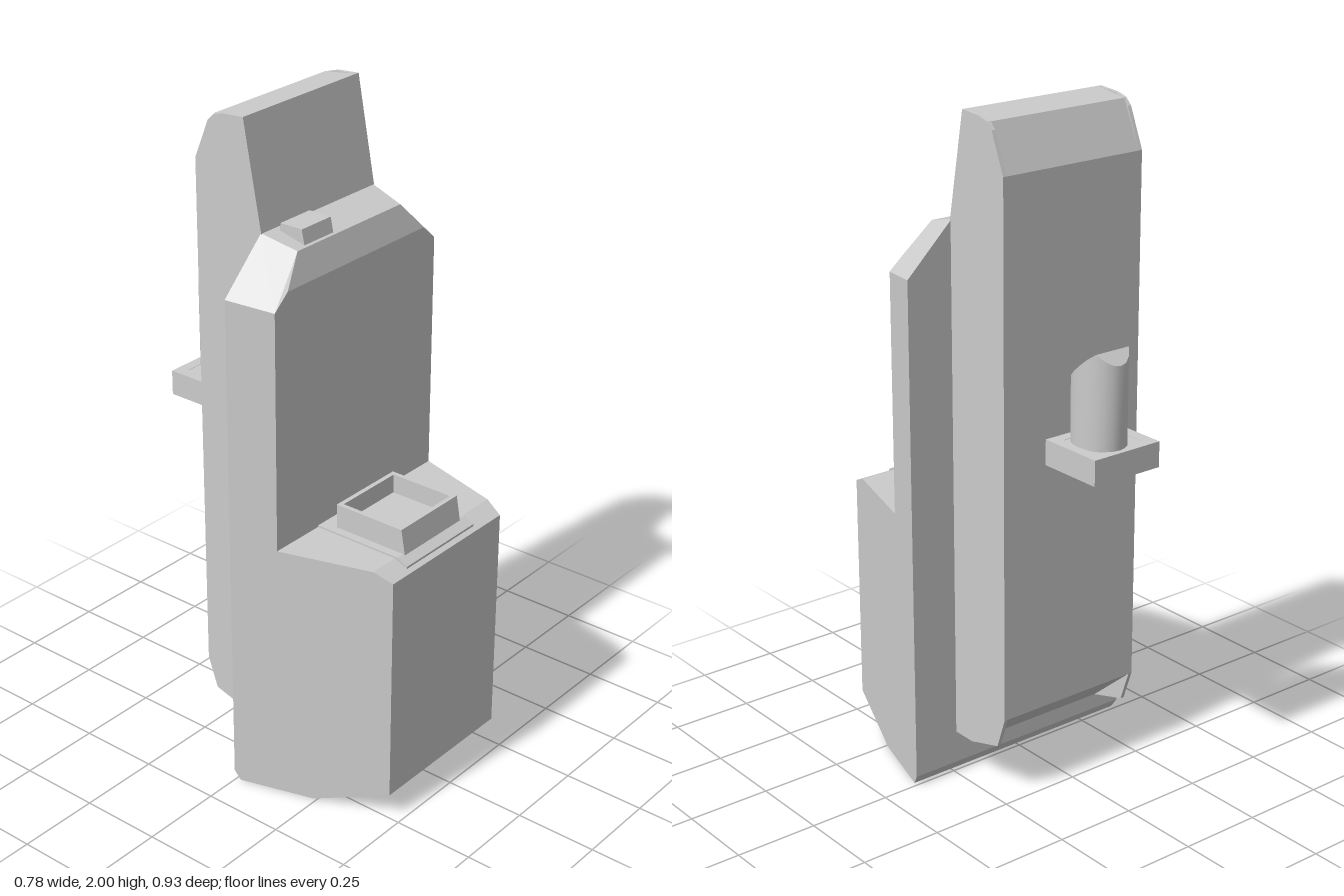
import * as THREE from 'three';
import { ConvexGeometry } from 'three/addons/geometries/ConvexGeometry.js';

const flat = new THREE.MeshStandardMaterial({ color: 0xcccccc, flatShading: true });
const smooth = new THREE.MeshStandardMaterial({ color: 0xcccccc, side: THREE.DoubleSide });

function part(name, geometry, material = flat) {
  const mesh = new THREE.Mesh(geometry, material);
  mesh.name = name;
  return mesh;
}

// Side profile of [z, y] points, extruded from x0 to x1
function sideExtrude(profile, x0, x1) {
  const shape = new THREE.Shape(profile.map(([z, y]) => new THREE.Vector2(z, y)));
  const geo = new THREE.ExtrudeGeometry(shape, { depth: x1 - x0, bevelEnabled: false });
  return geo.rotateY(-Math.PI / 2).translate(x1, 0, 0);
}

// Convex solid mirrored in x from [halfWidth, y, z] corners
function mirroredHull(corners) {
  return new ConvexGeometry(corners.flatMap(([x, y, z]) =>
    [new THREE.Vector3(x, y, z), new THREE.Vector3(-x, y, z)]));
}

// Rectangular wall ring: x0..x1, z0..z1, standing from y0 to y1
function frame(x0, x1, z0, z1, y0, y1, wall) {
  const rect = (P, a, b, c, d) => new P([[a, c], [b, c], [b, d], [a, d]].map(([x, y]) => new THREE.Vector2(x, y)));
  const shape = rect(THREE.Shape, x0, x1, -z1, -z0);
  shape.holes.push(rect(THREE.Path, x0 + wall, x1 - wall, -z1 + wall, -z0 - wall));
  const geo = new THREE.ExtrudeGeometry(shape, { depth: y1 - y0, bevelEnabled: false });
  return geo.rotateX(-Math.PI / 2).translate(0, y0, 0);
}

function box(x0, x1, y0, y1, z0, z1) {
  return new THREE.BoxGeometry(x1 - x0, y1 - y0, z1 - z0)
    .translate((x0 + x1) / 2, (y0 + y1) / 2, (z0 + z1) / 2);
}

function createBody() {
  const body = new THREE.Group();
  body.name = 'body';
  // The plan tapers evenly towards the front
  const w = (z) => 0.388 - 0.295 * z;
  const lower = [[0.03, -0.004], [0, 0.015], [0, 0.24], [0.08, 0.467], [0.785, 0.467], [0.81, 0.41], [0.81, -0.004]];
  body.add(part('lowerBody', mirroredHull(lower.map(([y, z]) => [w(z), y, z]))));
  body.add(part('upperBody', mirroredHull([
    [w(-0.004), 0.81, -0.004], [w(0.135), 0.81, 0.135],
    [w(-0.004), 1.545, -0.004], [w(0.135), 1.53, 0.135],
    [0.295, 1.575, 0.135], [0.222, 1.66, 0.108], [0.24, 1.688, -0.004],
  ])));
  return body;
}

function createBackSlab() {
  const slab = new THREE.Group();
  slab.name = 'backSlab';
  // Core with straight chamfers, between cheeks with rounder corners
  const core = [[0, 0.13], [0, 1.68], [-0.06, 2], [-0.17, 1.985], [-0.233, 1.85], [-0.233, 0.26], [-0.08, 0.13]];
  const cheek = [[0, 0.13], [0, 1.68], [-0.06, 2], [-0.13, 1.995], [-0.165, 1.985], [-0.185, 1.965],
    [-0.233, 1.85], [-0.233, 0.26], [-0.2, 0.165], [-0.08, 0.13]];
  slab.add(part('slabCore', sideExtrude(core, -0.23, 0.23)));
  for (const [name, x] of [['leftCheek', 0.23], ['rightCheek', -0.242]]) {
    slab.add(part(name, sideExtrude(cheek, x, x + 0.012)));
  }
  return slab;
}

function createHopper() {
  const hopper = new THREE.Group();
  hopper.name = 'hopper';
  // Thin plate that folds over the front of the ledge
  hopper.add(part('hopperPlate', sideExtrude(
    [[0.13, 0.8], [0.13, 0.815], [0.42, 0.815], [0.452, 0.798], [0.452, 0.79], [0.41, 0.8]], -0.17, 0.14)));
  // Open tray whose front wall leans back
  const walls = frame(-0.144, 0.112, 0.182, 0.425, 0.81, 0.888, 0.014);
  const pos = walls.attributes.position;
  for (let i = 0; i < pos.count; i++) {
    if (pos.getY(i) > 0.85 && pos.getZ(i) > 0.3) pos.setZ(i, pos.getZ(i) - 0.014);
  }
  walls.computeVertexNormals();
  hopper.add(part('hopperWalls', walls));
  hopper.add(part('hopperFloor', box(-0.135, 0.104, 0.81, 0.83, 0.19, 0.415)));
  return hopper;
}

function createRearPost() {
  const post = new THREE.Group();
  post.name = 'rearPost';
  // Shallow base, hollow underneath
  post.add(part('postBaseRim', frame(-0.118, 0.115, -0.465, -0.258, 1.022, 1.098, 0.035)));
  post.add(part('postBaseTop', box(-0.1, 0.1, 1.07, 1.097, -0.45, -0.275)));

  // Oval column cut by a slanted top
  const cz = -0.362, topAt = (z) => Math.min(1.26 + 0.84 * (-0.275 - z), 1.375 - 0.95 * (-0.412 - z));
  const column = new THREE.CylinderGeometry(1, 1, 1, 20, 1, true);
  const pos = column.attributes.position;
  const rim = [];
  for (let i = 0; i < pos.count; i++) {
    const isTop = pos.getY(i) > 0;
    const x = 0.013 + 0.072 * pos.getX(i), z = cz + 0.087 * pos.getZ(i);
    pos.setXYZ(i, x, isTop ? topAt(z) : 1.085, z);
    if (isTop) rim.push(new THREE.Vector3(x, topAt(z), z));
  }
  column.computeVertexNormals();
  post.add(part('postColumn', column, smooth));
  post.add(part('postCap', new ConvexGeometry(rim)));
  return post;
}

export function createModel() {
  const model = new THREE.Group();
  model.name = 'model';
  model.add(createBody(), createBackSlab(), createHopper(), createRearPost());
  // Small block on the shoulder
  model.add(part('topButton', sideExtrude(
    [[0.01, 1.66], [0.016, 1.705], [0.09, 1.705], [0.102, 1.65]], -0.183, -0.062)));
  return model;
}
